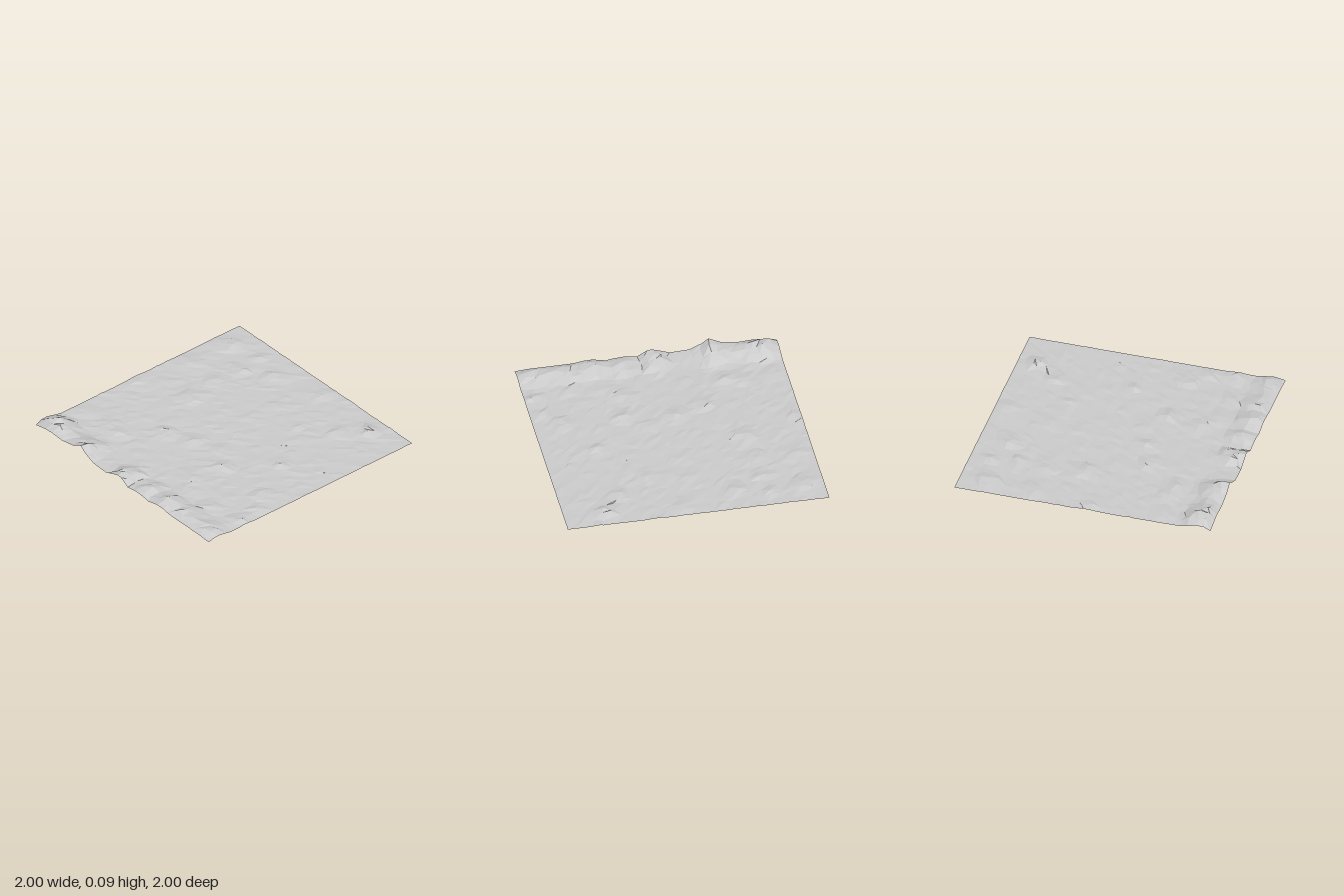
import * as THREE from 'three';

const SEG = 34;

// Repeatable value in 0..1 for a grid cell
const hash = (i, j, k) => {
  const s = Math.sin(i * 127.1 + j * 311.7 + k * 74.7) * 43758.5453;
  return s - Math.floor(s);
};

// Height profiles across x: ridge crest and the raised front rim, as [x, y]
const CREST = [[-1, .05], [-.92, .1], [-.85, .095], [-.75, .06], [-.65, .04], [-.57, .06], [-.48, .1], [-.38, .02],
  [-.2, .012], [-.15, .02], [-.08, .065], [0, .06], [.05, .015], [.12, .025], [.2, .06], [.28, .03], [.42, .07],
  [.53, .04], [.6, .06], [.7, .045], [.8, .04], [.9, .06], [1, .03]];
const RIM = [[-1, .01], [-.85, .04], [-.7, .03], [-.58, .05], [-.48, .1], [-.38, .02], [-.15, .01], [-.08, .065],
  [0, .055], [.05, .01], [.2, .03], [.3, .01], [.43, .04], [.55, .02], [.9, .02], [1, .012]];

// Small rocky outcrops as [x, z, radius, height]
const ROCKS = [[-.85, -.8, .12, .02], [-.58, -.84, .08, .012], [-.54, -.63, .08, .015], [-.34, -.77, .1, .018],
  [.08, -.9, .1, .014], [.68, -.85, .12, .025], [.54, -.66, .09, .02], [-.02, -.54, .08, .015], [.28, -.49, .07, .012],
  [.43, -.4, .08, .013], [-.88, -.42, .12, .014], [-.56, -.42, .12, .012], [-.53, -.13, .12, .02], [.58, -.08, .1, .02],
  [-.94, .05, .1, .015], [-.08, .23, .1, .022], [.13, .15, .09, .014], [-.28, .33, .11, .018], [.31, .29, .1, .018],
  [.8, .29, .11, .018], [.9, .44, .08, .018], [-.62, .58, .12, .02], [-.5, .6, .07, .015], [.28, .55, .12, .014],
  [.93, .64, .1, .025], [-.9, .6, .1, .014], [.65, .72, .12, .018], [.4, .68, .12, .014]];

function profile(points, x) {
  for (let i = 1; i < points.length; i++) {
    const [x0, y0] = points[i - 1], [x1, y1] = points[i];
    if (x <= x1) return THREE.MathUtils.lerp(y0, y1, (x - x0) / (x1 - x0));
  }
  return points[points.length - 1][1];
}

function heightAt(x, z, i, j) {
  // Nearly flat ground with fine roughness
  let y = .005 + .006 * hash(i, j, 3) ** 3;
  for (const [rx, rz, r, h] of ROCKS) {
    const d = Math.hypot(x - rx, z - rz) / r;
    if (d < 1) y += h * (1 - d) * (.5 + hash(i, j, 4));
  }
  // Ridge rising towards the front, then dropping to the rim
  if (z > .7) {
    const crest = profile(CREST, x);
    const ridge = z < .92
      ? crest * THREE.MathUtils.smoothstep(z, .7, .92)
      : THREE.MathUtils.lerp(crest, profile(RIM, x), (z - .92) / .08);
    y = Math.max(Math.min(y, .012), ridge * (z < .9 ? .7 + .35 * hash(i, j, 5) : 1));
  }
  return y;
}

export function createModel() {
  const group = new THREE.Group();
  group.name = 'terrainTile';

  const geometry = new THREE.PlaneGeometry(2, 2, SEG, SEG).rotateX(-Math.PI / 2);
  const pos = geometry.attributes.position;
  const step = 2 / SEG;
  for (let j = 0; j <= SEG; j++) {
    for (let i = 0; i <= SEG; i++) {
      const n = j * (SEG + 1) + i;
      // Scatter inner vertices sideways, keep the outline straight
      const dx = i > 0 && i < SEG ? (hash(i, j, 1) - .5) * step * .7 : 0;
      const dz = j > 0 && j < SEG ? (hash(i, j, 2) - .5) * step * .7 : 0;
      const x = pos.getX(n) + dx, z = pos.getZ(n) + dz;
      pos.setXYZ(n, x, heightAt(x, z, i, j), z);
    }
  }
  // Rest the lowest point on the floor
  geometry.computeBoundingBox();
  geometry.translate(0, -geometry.boundingBox.min.y, 0);
  geometry.computeVertexNormals();

  const ground = new THREE.Mesh(geometry, new THREE.MeshStandardMaterial({
    color: 0xcccccc, flatShading: true, side: THREE.DoubleSide,
  }));
  ground.name = 'ground';
  group.add(ground);
  return group;
}
